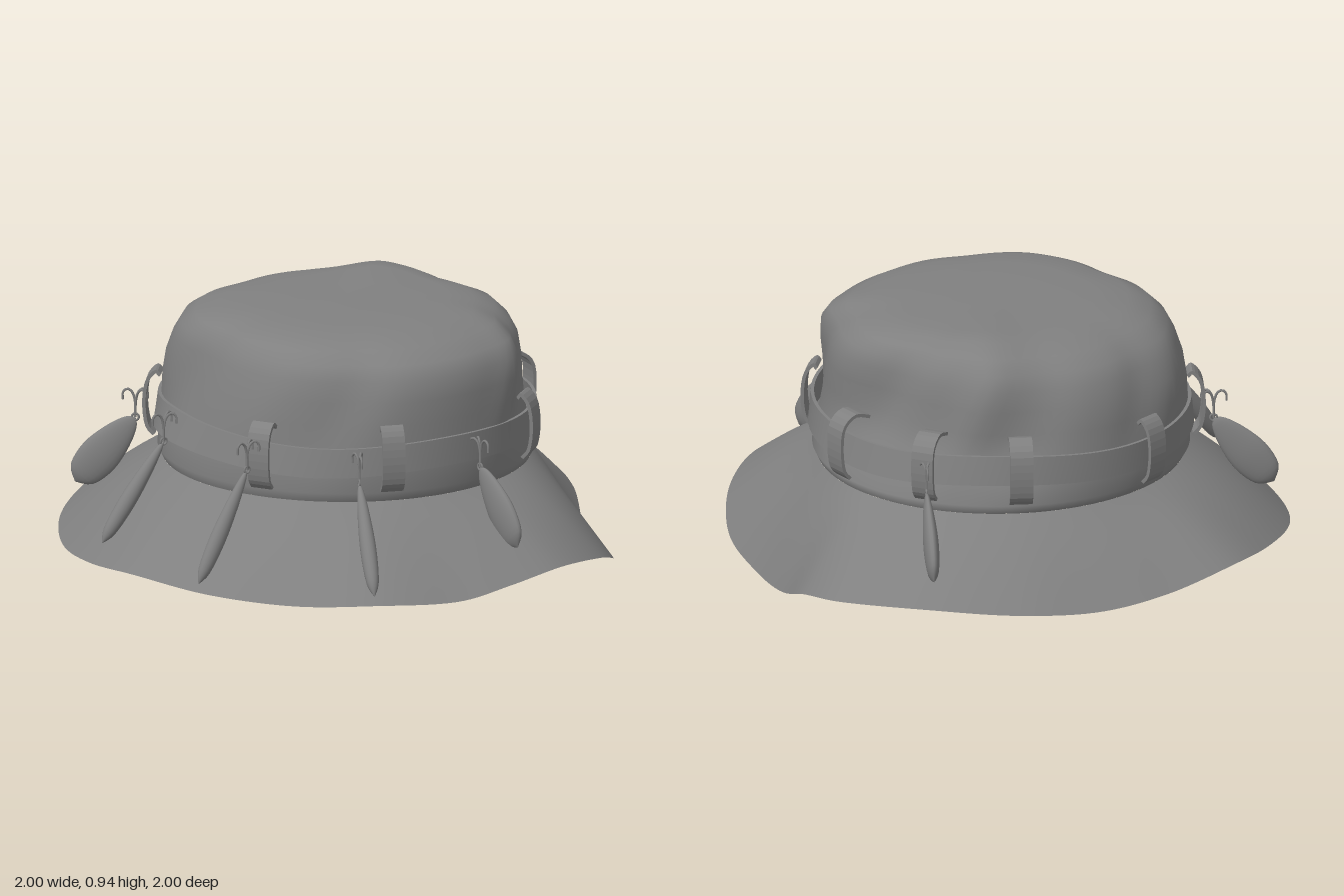
import * as THREE from 'three';

const mat = new THREE.MeshStandardMaterial({ color: 0x808080, side: THREE.DoubleSide });
const V = (x, y, z) => new THREE.Vector3(x, y, z);
const SEG = 96;

function part(name, geometry) {
  const m = new THREE.Mesh(geometry, mat);
  m.name = name;
  return m;
}

// Skin closed rings listed from bottom (or outer edge) to top
function loft(rings) {
  const n = rings[0].length, idx = [];
  for (let i = 0; i < rings.length - 1; i++) {
    for (let j = 0; j < n; j++) {
      const a = i * n + j, b = i * n + (j + 1) % n;
      idx.push(a, a + n, b, b, a + n, b + n);
    }
  }
  const g = new THREE.BufferGeometry().setFromPoints(rings.flat());
  g.setIndex(idx);
  g.computeVertexNormals();
  return g;
}

// Lopsided oval point: separate reach toward -x, +x, -z, +z
function oval(t, y, x0, x1, z0, z1, k = 1) {
  const c = Math.cos(t), s = Math.sin(t);
  return V((c > 0 ? x1 : -x0) * c * k, y, (s > 0 ? z1 : -z0) * s * k);
}
const ring = (f) => Array.from({ length: SEG }, (_, j) => f(j / SEG * Math.PI * 2));

// Where the brim meets the tucked-in foot of the crown
const FOOT = [0.382, -0.625, 0.635, -0.65, 0.635];

// Crown levels: y, -x, +x, -z, +z, fold strength
const CROWN = [
  [...FOOT, 0], [0.415, -0.645, 0.652, -0.665, 0.648, 0],
  [0.50, -0.642, 0.652, -0.61, 0.635, 0.2], [0.57, -0.635, 0.652, -0.57, 0.622, 0.5],
  [0.65, -0.63, 0.652, -0.555, 0.61, 0.8], [0.73, -0.615, 0.65, -0.552, 0.592, 1],
  [0.80, -0.585, 0.64, -0.548, 0.575, 1], [0.85, -0.55, 0.605, -0.53, 0.555, 1],
  [0.89, -0.485, 0.53, -0.50, 0.52, 1], [0.915, -0.40, 0.44, -0.44, 0.46, 0.8],
  [0.928, -0.30, 0.33, -0.36, 0.34, 0.4], [0.932, -0.15, 0.17, -0.18, 0.17, 0],
  [0.933, 0, 0, 0, 0, 0],
];

// Creases and bulges in the cloth: angle in degrees, half width, depth
const FOLDS = [[-87, 9, -0.045], [-120, 8, 0.05], [-140, 10, -0.03], [-64, 11, 0.03], [-40, 9, -0.025],
  [-24, 9, 0.03], [103, 14, -0.06], [66, 10, 0.02], [42, 10, -0.03], [160, 13, 0.03], [180, 9, -0.02], [135, 10, 0.01]];

function crown() {
  return part('crown', loft(CROWN.map(([y, x0, x1, z0, z1, w]) => ring((t) => {
    let k = 0.015 * Math.sin(2 * t) ** 2;
    for (const [deg, width, depth] of FOLDS) {
      const a = t * 180 / Math.PI - deg + 40 * (y - 0.8);
      const d = a - 360 * Math.round(a / 360);
      k += depth * Math.exp(-((d / width) ** 2));
    }
    const p = oval(t, y, x0, x1, z0, z1, 1 + w * k);
    // soft peak at the back of the top
    if (y > 0.84) p.y += 0.02 * Math.exp(-((p.x + 0.2) ** 2 + (p.z + 0.37) ** 2) / 0.02);
    return p;
  }))));
}

// Wavy brim: edge points swept up to the crown
function brim() {
  const edge = new THREE.CatmullRomCurve3([
    [1, 0.16, -0.08], [0.985, 0.135, 0.15], [0.94, 0.108, 0.34], [0.81, 0.12, 0.62], [0.6, 0.11, 0.8],
    [0.32, 0.12, 0.945], [0, 0.135, 1], [-0.28, 0.11, 0.95], [-0.55, 0.092, 0.82], [-0.8, 0.112, 0.585],
    [-0.95, 0.155, 0.27], [-1, 0.18, 0], [-0.925, 0.14, -0.28], [-0.81, 0.12, -0.515], [-0.63, 0.135, -0.745],
    [-0.36, 0.15, -0.925], [-0.05, 0.13, -1], [0.14, 0.095, -0.945], [0.34, 0.015, -0.81], [0.52, 0.001, -0.7],
    [0.76, 0.045, -0.555], [0.92, 0.122, -0.345],
  ].map((p) => V(...p)), true).getPoints(SEG * 2).slice(0, -1);
  const rings = [];
  for (let i = 0; i <= 10; i++) {
    const f = i / 10;
    rings.push(edge.map((e) => {
      const p = e.clone().lerp(oval(Math.atan2(e.z, e.x), ...FOOT), f);
      p.y += 0.016 * Math.sin(f * Math.PI);
      return p;
    }));
  }
  return part('brim', loft(rings));
}

// Slack band with a rectangular section, leaning in toward its top
function hatBand() {
  const corners = [[0, 0], [1, 0], [1, 1], [0, 1], [0, 0]];
  const g = new THREE.Group();
  g.name = 'hatBand';
  for (let i = 0; i < 4; i++) {
    g.add(part('bandFace', loft([corners[i], corners[i + 1]].map(([out, up]) => ring((t) => {
      const y = (up ? 0.585 : 0.485) + 0.008 * (Math.sin(3 * t + 2) + 0.5 * Math.sin(5 * t));
      const lean = up * 0.025;
      const sag = up * 0.03 * Math.exp(-(((t - 1.95) / 0.3) ** 2));
      return oval(t, y, -0.648, 0.655, -0.665 + lean, 0.65 - lean, 1 + out * 0.018 - sag);
    })))));
  }
  return g;
}

// Bowed belt loop standing off the band; reach is how far its top runs inward
function beltLoop(x, z, reach) {
  const path = new THREE.SplineCurve([[-reach, 0.645], [-reach * 0.3, 0.66], [0.025, 0.62], [0.036, 0.54],
    [0.026, 0.46], [0, 0.425]].map((p) => new THREE.Vector2(...p)));
  const outer = path.getPoints(16);
  const inner = outer.map((p, i) => {
    const d = path.getTangent(i / 16);
    return new THREE.Vector2(p.x + d.y * 0.012, p.y - d.x * 0.012);
  });
  const shape = new THREE.Shape([...outer, ...inner.reverse()]);
  const geo = new THREE.ExtrudeGeometry(shape, { depth: 0.08, bevelEnabled: false });
  geo.translate(0, 0, -0.04);
  const m = part('beltLoop', geo);
  m.position.set(x, 0, z);
  m.rotation.y = -Math.atan2(z, x);
  return m;
}

// Fishing lure: tapered body, split ring and treble hook
function lure(top, tip, thick, wide) {
  const g = new THREE.Group();
  g.name = 'lure';
  const a = V(...top), d = V(...tip).sub(a), len = d.length();
  d.normalize();
  const side = d.clone().cross(V(0, 1, 0)).normalize();
  const profile = new THREE.SplineCurve([[0, 0], [0.4, 0.08], [0.78, 0.3], [1, 0.6], [0.75, 0.88], [0, 1]]
    .map((p) => new THREE.Vector2(...p)));
  const body = part('lureBody', new THREE.LatheGeometry(profile.getPoints(20), 20));
  body.quaternion.setFromRotationMatrix(new THREE.Matrix4().makeBasis(side, d, side.clone().cross(d)));
  body.scale.set(thick, len, wide);
  body.position.copy(a);
  g.add(body);

  const heading = -Math.atan2(d.z, d.x);
  const eye = part('splitRing', new THREE.TorusGeometry(0.012, 0.004, 6, 16));
  eye.position.copy(a);
  eye.rotation.y = heading;
  g.add(eye);
  const bend = new THREE.CatmullRomCurve3([V(0, 0, 0), V(0.002, 0.06, 0), V(0.012, 0.09, 0), V(0.028, 0.1, 0),
    V(0.043, 0.088, 0), V(0.044, 0.062, 0)]);
  for (const turn of [0, 2.75, -2.75]) {
    const hook = part('hook', new THREE.TubeGeometry(bend, 16, 0.0045, 6));
    hook.position.copy(a);
    hook.rotation.y = heading + turn;
    g.add(hook);
  }
  return g;
}

export function createModel() {
  const hat = new THREE.Group();
  hat.name = 'bucketHat';
  hat.add(crown(), brim(), hatBand());

  for (const [x, z, reach] of [[0.59, -0.305, 0.025], [0.585, 0.33, 0.02], [0.25, 0.63, 0.04], [-0.505, 0.43, 0.03],
    [-0.67, -0.04, 0.03], [-0.45, -0.49, 0.08], [-0.16, -0.65, 0.1], [0.2, -0.65, 0.09]]) hat.add(beltLoop(x, z, reach));

  // long slim lures
  hat.add(lure([-0.19, 0.51, 0.68], [-0.245, 0.18, 0.92], 0.028, 0.03));
  hat.add(lure([0.26, 0.51, 0.71], [0.26, 0.145, 0.94], 0.027, 0.03));
  hat.add(lure([0.57, 0.48, 0.47], [0.8, 0.15, 0.615], 0.028, 0.032));
  // broad spoon lures
  hat.add(lure([0.7, 0.475, 0.02], [0.91, 0.235, 0.04], 0.026, 0.07));
  hat.add(lure([-0.56, 0.475, 0.465], [-0.72, 0.235, 0.6], 0.026, 0.07));
  hat.add(lure([-0.2, 0.475, -0.7], [-0.37, 0.24, -0.88], 0.026, 0.07));
  return hat;
}
